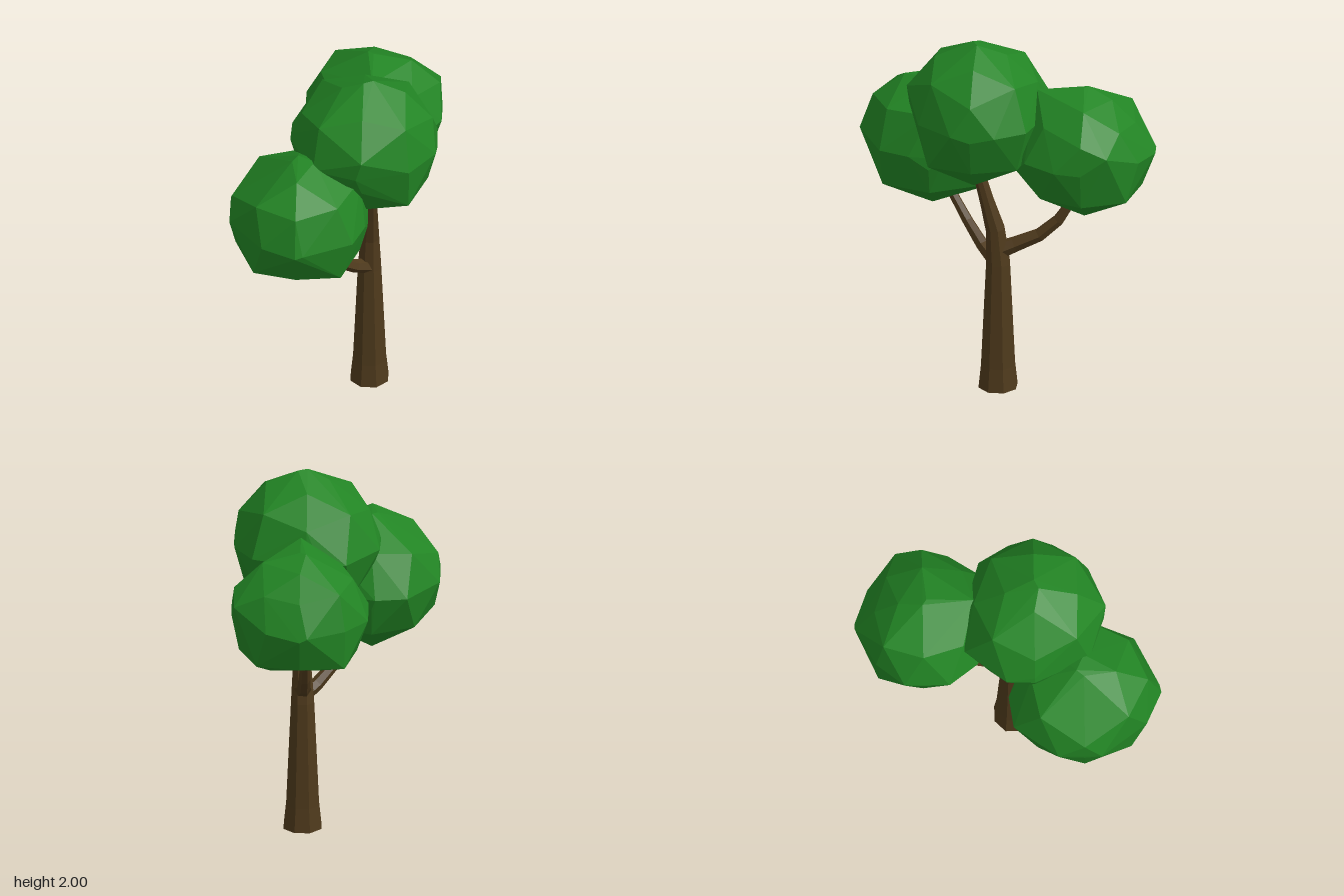
import * as THREE from 'three';
import { ConvexGeometry } from 'three/addons/geometries/ConvexGeometry.js';

const bark = new THREE.MeshStandardMaterial({ color: 0x4f3a1c, flatShading: true });
const leaf = new THREE.MeshStandardMaterial({ color: 0x228524, flatShading: true });

// Tapered limb lofted through [x, y, z, radius] stations, capped at both ends
function limb(name, stations, sides) {
  const UP = new THREE.Vector3(0, 1, 0);
  const pts = stations.map(([x, y, z]) => new THREE.Vector3(x, y, z));
  const last = pts.length - 1;
  const pos = [], index = [];
  pts.forEach((p, i) => {
    const dir = pts[Math.min(i + 1, last)].clone().sub(pts[Math.max(i - 1, 0)]).normalize();
    const turn = new THREE.Quaternion().setFromUnitVectors(UP, dir);
    for (let s = 0; s < sides; s++) {
      const a = ((s + 0.5) / sides) * Math.PI * 2;
      const v = new THREE.Vector3(Math.sin(a), 0, Math.cos(a)).multiplyScalar(stations[i][3]);
      pos.push(...v.applyQuaternion(turn).add(p).toArray());
    }
  });
  for (let i = 0; i < last; i++) {
    for (let s = 0; s < sides; s++) {
      const a = i * sides + s, b = i * sides + ((s + 1) % sides);
      index.push(a, b, b + sides, a, b + sides, a + sides);
    }
  }
  const top = last * sides;
  for (let s = 1; s < sides - 1; s++) {
    index.push(0, s + 1, s, top, top + s, top + s + 1);
  }
  const geo = new THREE.BufferGeometry();
  geo.setAttribute('position', new THREE.Float32BufferAttribute(pos, 3));
  geo.setIndex(index);
  geo.computeVertexNormals();
  const mesh = new THREE.Mesh(geo, bark);
  mesh.name = name;
  return mesh;
}

// Faceted leaf ball: hull over three outlines through its centre, in the xy, zy
// and xz planes (xz points may carry their own y), with one rounding point in each
// of the eight octants; octants run from -x-y-z to +x+y+z with z changing fastest
function foliage(name, centre, half, { xy, zy, xz, octants }) {
  const [cx, cy, cz] = centre;
  const points = [
    ...xy.map(([x, y]) => new THREE.Vector3(x, y, cz)),
    ...zy.map(([z, y]) => new THREE.Vector3(cx, y, z)),
    ...xz.map(([x, z, y = cy]) => new THREE.Vector3(x, y, z)),
    ...octants.map((k, i) => new THREE.Vector3(
      cx + (i & 4 ? k : -k) * half[0],
      cy + (i & 2 ? k : -k) * half[1],
      cz + (i & 1 ? k : -k) * half[2],
    )),
  ];
  const mesh = new THREE.Mesh(new ConvexGeometry(points), leaf);
  mesh.name = name;
  return mesh;
}

export function createModel() {
  const tree = new THREE.Group();
  tree.name = 'tree';

  // Trunk, flared at the foot and leaning forward above the fork
  tree.add(limb('trunk', [
    [0.175, 0, 0.03, 0.108], [0.175, 0.13, 0.03, 0.094], [0.175, 0.72, 0.03, 0.066],
    [0.178, 0.92, 0.045, 0.052], [0.185, 1.08, 0.087, 0.039], [0.19, 1.3, 0.145, 0.03],
  ], 8));

  // Side branches
  tree.add(limb('frontBranch', [
    [0.19, 0.73, 0.04, 0.042], [0.1, 0.78, 0.12, 0.036],
    [0, 0.87, 0.21, 0.03], [-0.12, 1.02, 0.33, 0.024],
  ], 6));
  tree.add(limb('backBranch', [
    [0.175, 0.79, 0.03, 0.05], [0.17, 0.83, -0.06, 0.042], [0.165, 0.89, -0.19, 0.036],
    [0.16, 0.98, -0.29, 0.032], [0.155, 1.14, -0.39, 0.022],
  ], 6));

  // Leaf balls
  tree.add(foliage('topFoliage', [0.15, 1.61, 0.14], [0.39, 0.39, 0.38], {
    xy: [[0.2, 2], [0.37, 1.93], [0.515, 1.77], [0.54, 1.58], [0.49, 1.38], [0.35, 1.25],
      [0.1, 1.22], [-0.08, 1.31], [-0.2, 1.46], [-0.23, 1.65], [-0.18, 1.78], [0.035, 1.95]],
    zy: [[0.165, 2], [-0.015, 1.93], [-0.18, 1.78], [-0.24, 1.6], [-0.17, 1.39], [0.01, 1.22],
      [0.175, 1.22], [0.39, 1.34], [0.47, 1.5], [0.52, 1.72], [0.37, 1.9]],
    xz: [[-0.06, -0.23], [0.07, -0.24], [0.26, -0.2], [0.44, -0.15], [0.535, 0.01], [0.535, 0.245],
      [0.4, 0.43], [0.12, 0.51], [-0.11, 0.43], [-0.24, 0.14], [-0.235, -0.01]],
    octants: [0.61, 0.61, 0.59, 0.59, 0.62, 0.63, 0.59, 0.59],
  }));
  tree.add(foliage('frontFoliage', [-0.19, 1.31, 0.4], [0.365, 0.345, 0.4], {
    xy: [[-0.54, 1.42], [-0.46, 1.47], [-0.22, 1.65], [-0.1, 1.65], [0.14, 1.54], [0.18, 1.24],
      [0.14, 1.09], [-0.01, 0.97], [-0.25, 0.97], [-0.52, 1.12], [-0.55, 1.29]],
    zy: [[0.81, 1.3], [0.74, 1.5], [0.57, 1.63], [0.36, 1.66], [0.12, 1.53], [0.015, 1.25],
      [0.06, 1.09], [0.19, 0.97], [0.5, 0.97], [0.695, 1.09]],
    xz: [[-0.38, 0.025], [-0.21, 0], [0.07, 0.11], [0.18, 0.32], [0.17, 0.51], [0.11, 0.67],
      [-0.15, 0.8], [-0.37, 0.73], [-0.55, 0.49], [-0.55, 0.26]],
    octants: [0.62, 0.62, 0.585, 0.585, 0.62, 0.65, 0.6, 0.6],
  }));
  tree.add(foliage('backFoliage', [0.18, 1.43, -0.45], [0.365, 0.335, 0.365], {
    xy: [[0.545, 1.42], [0.505, 1.22], [0.34, 1.1], [0.1, 1.1], [-0.12, 1.22],
      [-0.18, 1.42], [-0.1, 1.63], [0.15, 1.77], [0.38, 1.72], [0.53, 1.58]],
    zy: [[-0.18, 1.75], [-0.43, 1.77], [-0.58, 1.71], [-0.705, 1.585], [-0.81, 1.41],
      [-0.74, 1.225], [-0.435, 1.1], [-0.24, 1.1], [-0.065, 1.27], [-0.08, 1.55]],
    xz: [[0.14, -0.81], [0.36, -0.74], [0.53, -0.59, 1.52], [0.545, -0.31], [0.435, -0.14],
      [0.18, -0.08], [-0.065, -0.16], [-0.18, -0.31], [-0.18, -0.55], [-0.06, -0.7]],
    octants: [0.65, 0.6, 0.58, 0.585, 0.63, 0.63, 0.52, 0.58],
  }));
  return tree;
}
